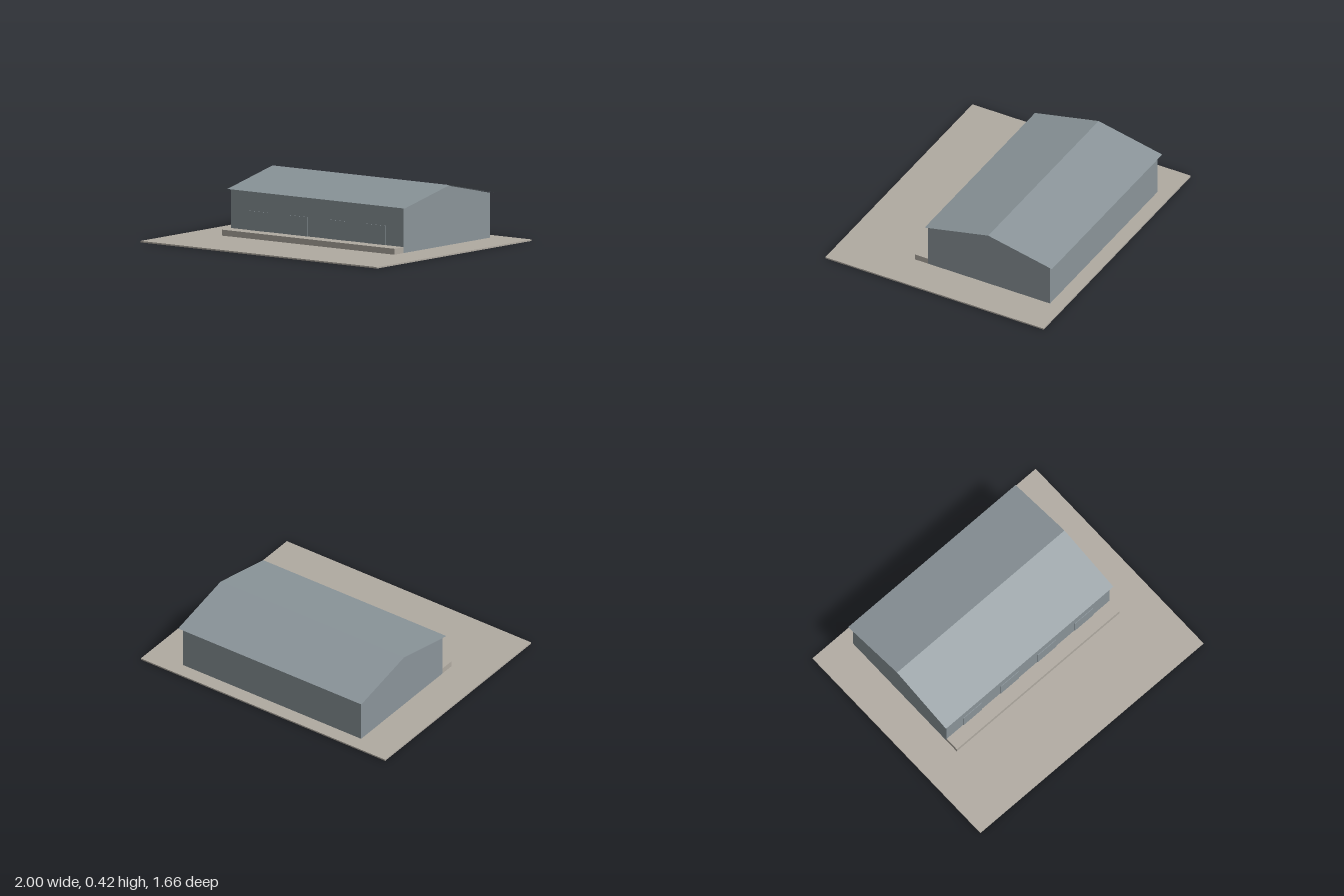
import * as THREE from 'three';

export function createModel() {
  const model = new THREE.Group();
  const metal = new THREE.MeshStandardMaterial({ color: 0x8a9499, side: THREE.DoubleSide });
  metal.name = 'blue grey metal';
  const concrete = new THREE.MeshStandardMaterial({ color: 0xb0aaa1 });
  concrete.name = 'warm grey concrete';

  const add = (name, geometry, material) => {
    const mesh = new THREE.Mesh(geometry, material);
    mesh.name = name;
    model.add(mesh);
    return mesh;
  };
  // box given by its lower and upper limits
  const box = (name, material, [x0, y0, z0], [x1, y1, z1]) => {
    const mesh = add(name, new THREE.BoxGeometry(x1 - x0, y1 - y0, z1 - z0), material);
    mesh.position.set((x0 + x1) / 2, (y0 + y1) / 2, (z0 + z1) / 2);
  };

  // ground slab and loading dock
  box('groundSlab', concrete, [-1, 0, -0.832], [1, 0.01, 0.832]);
  box('loadingDock', concrete, [-0.73, 0.01, 0.2], [0.73, 0.05, 0.3]);

  // gabled hall: profile in (-z, y), extruded along x
  const profile = new THREE.Shape([
    [-0.2, 0.01], [0.73, 0.01], [0.73, 0.311], [0.265, 0.412], [-0.2, 0.311],
  ].map(([u, v]) => new THREE.Vector2(u, v)));
  const hall = new THREE.ExtrudeGeometry(profile, { depth: 1.46, bevelEnabled: false });
  hall.translate(0, 0, -0.73).rotateY(Math.PI / 2);
  add('hallWalls', hall, metal);

  // thin roof sheets overhanging the walls
  const ridge = [0.416, -0.27];
  const roofSheet = (name, [ya, za], [yb, zb]) => {
    const sheet = new THREE.BufferGeometry();
    sheet.setAttribute('position', new THREE.Float32BufferAttribute([
      -0.75, ya, za, 0.75, ya, za, 0.75, yb, zb, -0.75, yb, zb], 3));
    sheet.setIndex([0, 1, 2, 0, 2, 3]);
    sheet.computeVertexNormals();
    add(name, sheet, metal);
  };
  roofSheet('frontRoof', [0.312, 0.215], ridge);
  roofSheet('backRoof', ridge, [0.312, -0.755]);

  // four dock doors, thin plates on the front wall
  for (const x of [-0.498, -0.166, 0.166, 0.498]) {
    box('dockDoor', metal, [x - 0.082, 0.05, 0.2], [x + 0.082, 0.18, 0.204]);
  }
  return model;
}
